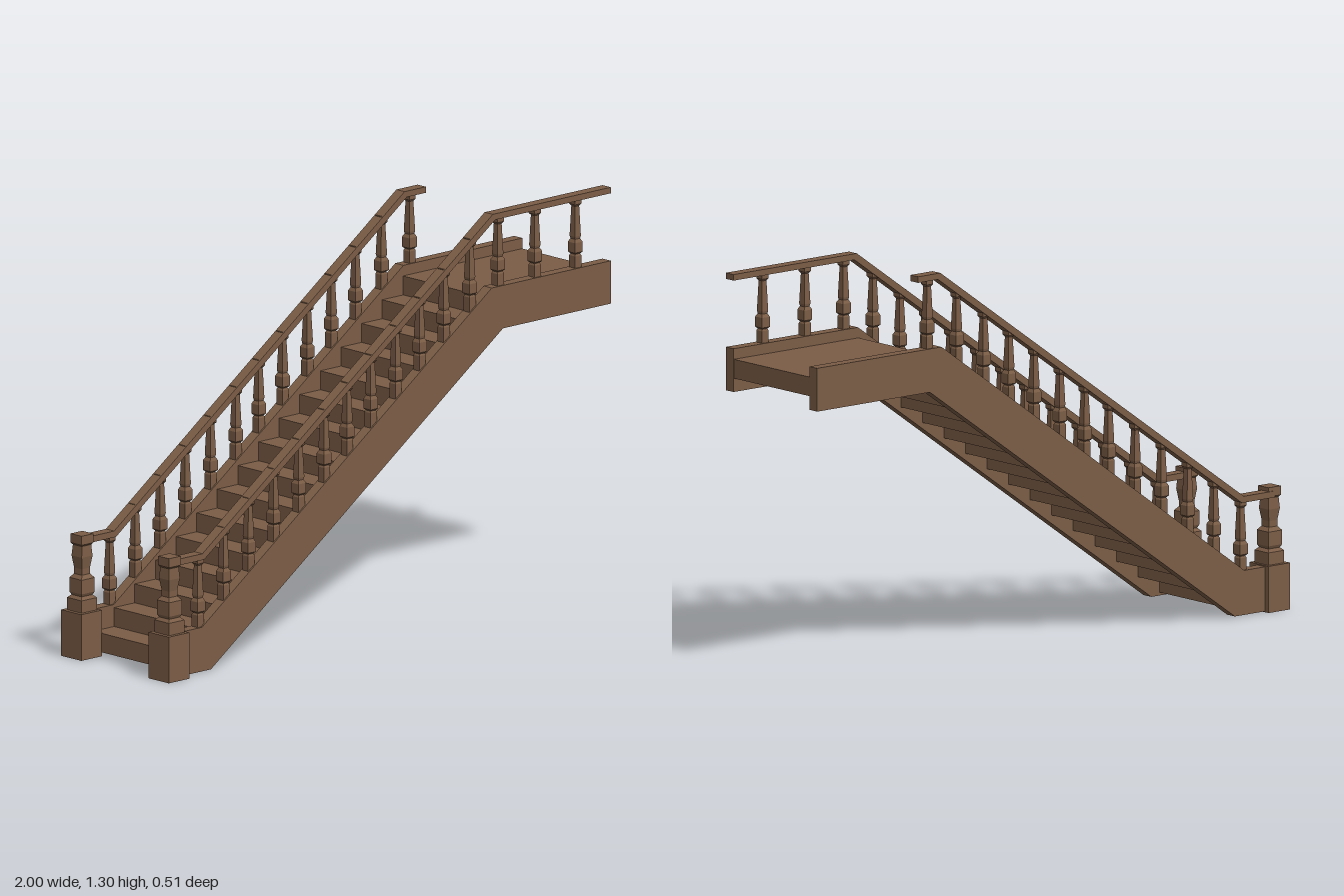
import * as THREE from 'three';

const wood = new THREE.MeshStandardMaterial({ color: 0x7b5d46 });

function add(parent, name, geometry, x = 0, y = 0, z = 0) {
  const mesh = new THREE.Mesh(geometry, wood);
  mesh.name = name;
  mesh.position.set(x, y, z);
  parent.add(mesh);
  return mesh;
}

// Side outline in x/y, given a thickness along z and centred on z = 0
function slab(points, thickness) {
  const shape = new THREE.Shape(points.map(([x, y]) => new THREE.Vector2(x, y)));
  const geometry = new THREE.ExtrudeGeometry(shape, { depth: thickness, bevelEnabled: false });
  return geometry.translate(0, 0, -thickness / 2);
}

// Square turned post from [half width, height] pairs, with crisp faces
function squarePost(profile) {
  const points = profile.map(([h, y]) => new THREE.Vector2(h * Math.SQRT2, y));
  const geometry = new THREE.LatheGeometry(points, 4).rotateY(Math.PI / 4).toNonIndexed();
  geometry.computeVertexNormals();
  return geometry;
}

const SLOPE = 0.705;
const stringerTop = x => 0.15 + SLOPE * THREE.MathUtils.clamp(x + 0.82, 0, 1.29);

const balusterGeometry = squarePost([
  [0, -0.012], [0.014, -0.012], [0.014, 0.04], [0.011, 0.046], [0.017, 0.052], [0.017, 0.085],
  [0.011, 0.096], [0.013, 0.105], [0.009, 0.205], [0.014, 0.212], [0.014, 0.235], [0, 0.235],
]);

const newelGeometry = squarePost([
  [0, 0.15], [0.034, 0.15], [0.034, 0.195], [0.024, 0.205], [0.029, 0.215], [0.029, 0.262],
  [0.018, 0.275], [0.018, 0.295], [0.024, 0.335], [0.021, 0.372], [0.026, 0.378], [0.026, 0.408], [0, 0.408],
]);

export function createModel() {
  const model = new THREE.Group();
  model.name = 'staircase';

  // Steps: equal blocks rising to the landing
  const RUN = 0.0918, RISE = 0.0632, WIDTH = 0.385, MID = -0.008;
  const steps = new THREE.Group();
  steps.name = 'steps';
  model.add(steps);
  const stepGeometry = new THREE.BoxGeometry(RUN + 0.004, RISE, WIDTH);
  for (let i = 0; i < 15; i++) {
    add(steps, 'step', stepGeometry, -0.908 + RUN * (i + 0.5), 0.0135 + RISE * (i + 0.5), MID);
  }

  // Landing deck
  add(model, 'landing', new THREE.BoxGeometry(0.531, 0.063, WIDTH), 0.7335, 0.9935, MID);

  // Each side: the rail on the back stops short on the landing
  const sides = [
    { name: 'frontSide', z: 0.2, railEnd: 1, balusters: 15 },
    { name: 'backSide', z: -0.216, railEnd: 0.57, balusters: 13 },
  ];
  const balusterX = [-0.82, -0.706, -0.595, -0.483, -0.371, -0.258, -0.156, -0.05, 0.06, 0.167, 0.275, 0.39, 0.515, 0.68, 0.86];

  for (const { name, z, railEnd, balusters } of sides) {
    const side = new THREE.Group();
    side.name = name;
    side.position.z = z;
    model.add(side);

    add(side, 'stringer', slab([
      [-0.93, 0.003], [-0.78, 0.003], [0.52, 0.917], [1, 0.917],
      [1, 1.06], [0.47, 1.06], [-0.82, 0.15], [-0.93, 0.15],
    ], 0.039));

    add(side, 'handrail', slab([
      [-0.95, 0.374], [-0.81, 0.374], [0.485, 1.285], [railEnd, 1.285],
      [railEnd, 1.305], [0.475, 1.305], [-0.818, 0.395], [-0.95, 0.395],
    ], 0.039));

    for (const x of balusterX.slice(0, balusters)) {
      add(side, 'baluster', balusterGeometry, x, stringerTop(x));
    }

    // Newel post at the foot of the stairs
    const newelZ = Math.sign(z) * 0.206 - z;
    add(side, 'newelBase', new THREE.BoxGeometry(0.092, 0.154, 0.095), -0.954, 0.077, newelZ);
    add(side, 'newelPost', newelGeometry, -0.952, 0, newelZ);
  }

  return model;
}
